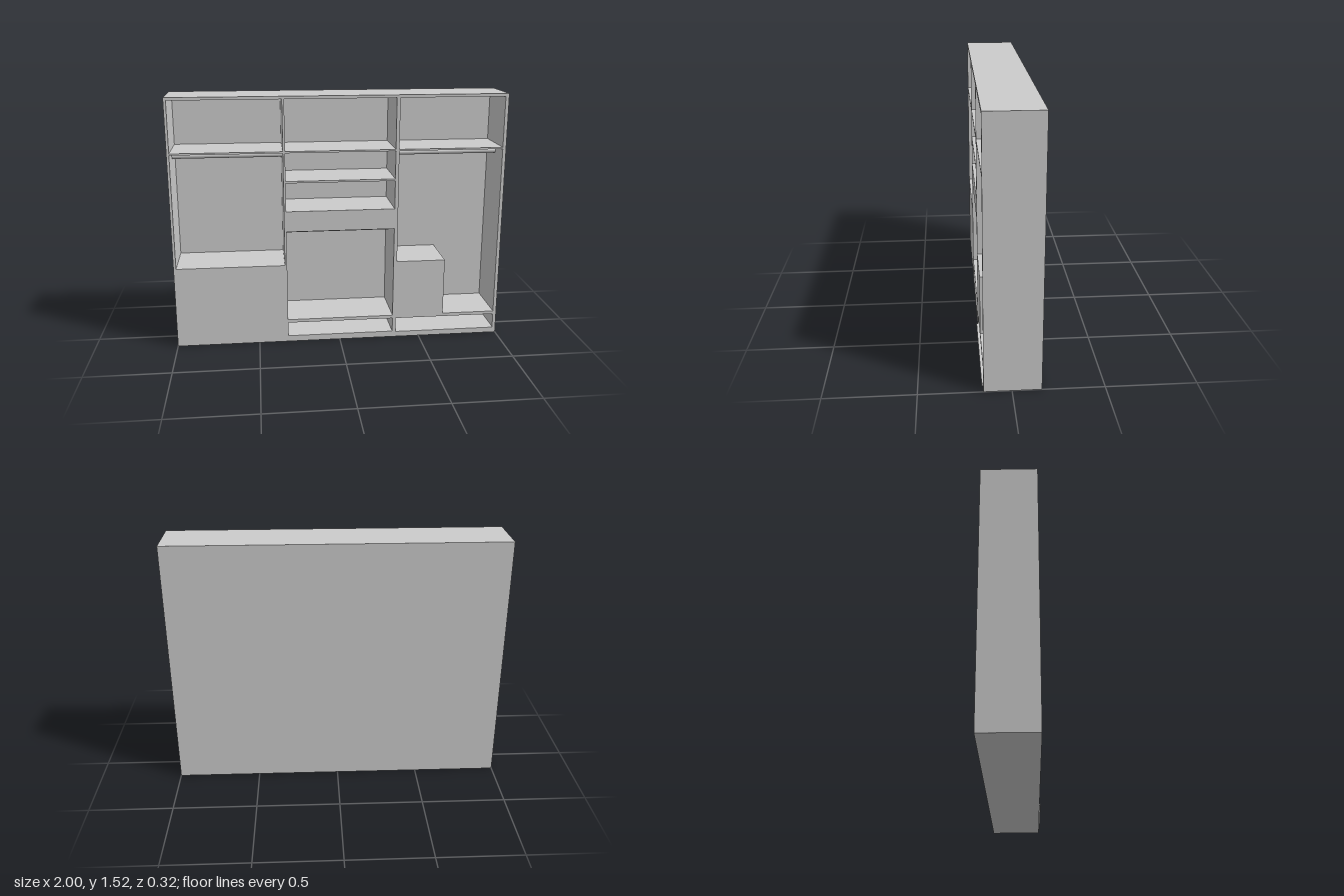
import * as THREE from 'three';

const HEIGHT = 1.52, FRONT = 0.152, BACK = -0.16, PANEL = 0.004;

// Column edges, left to right as seen from the front
const COL = [[-0.985, -0.335], [-0.322, 0.332], [0.353, 0.98]];

const rect = ([x0, x1], y0, y1) => [[x0, y0], [x1, y0], [x1, y1], [x0, y1]];
const toPoints = (list) => list.map(([x, y]) => new THREE.Vector2(x, y));

export function createModel() {
  const group = new THREE.Group();
  const material = new THREE.MeshStandardMaterial({ color: 0xcccccc });

  const add = (name, geometry, x = 0, y = 0, z = 0) => {
    const mesh = new THREE.Mesh(geometry, material);
    mesh.name = name;
    mesh.position.set(x, y, z);
    group.add(mesh);
    return mesh;
  };

  // Carcass: one block with the compartments cut through it
  const [a, b, c] = COL;
  const openings = [
    rect(a, 1.2, 1.503),
    rect(a, 0.5, 1.19),
    rect(b, 1.2, 1.503),
    rect(b, 1.022, 1.19),
    rect(b, 0.837, 1.01),
    rect(b, 0.145, 0.712),
    rect(b, 0.037, 0.125),
    rect(c, 1.2, 1.503),
    // Tall compartment stepping around the raised box
    [[0.653, 0.145], [0.98, 0.145], [0.98, 1.19], [0.353, 1.19], [0.353, 0.5], [0.653, 0.5]],
    rect(c, 0.037, 0.125),
  ];
  const outline = new THREE.Shape(toPoints(rect([-1, 1], 0, HEIGHT)));
  outline.holes = openings.map((o) => new THREE.Path(toPoints(o)));
  const depth = FRONT - BACK - PANEL;
  add('carcass', new THREE.ExtrudeGeometry(outline, { depth, bevelEnabled: false }), 0, 0, BACK + PANEL);

  // Thin panel closing the back
  add('backPanel', new THREE.BoxGeometry(2, HEIGHT, PANEL), 0, HEIGHT / 2, BACK + PANEL / 2);

  // Hanging rails; the middle one shows its end through the divider
  const rail = (name, x0, x1, y) => {
    const geometry = new THREE.CylinderGeometry(0.016, 0.016, x1 - x0, 24).rotateZ(Math.PI / 2);
    add(name, geometry, (x0 + x1) / 2, y, 0);
  };
  rail('leftColumnRail', a[0], a[1], 1.157);
  rail('middleColumnRail', b[0], 0.355, 0.68);
  rail('rightColumnRail', c[0], c[1], 1.155);

  // Bottom shelf edge standing slightly proud of the front
  add('shelfLip', new THREE.BoxGeometry(c[1] - c[0], 0.015, 0.016), (c[0] + c[1]) / 2, 0.0295, FRONT);

  return group;
}
